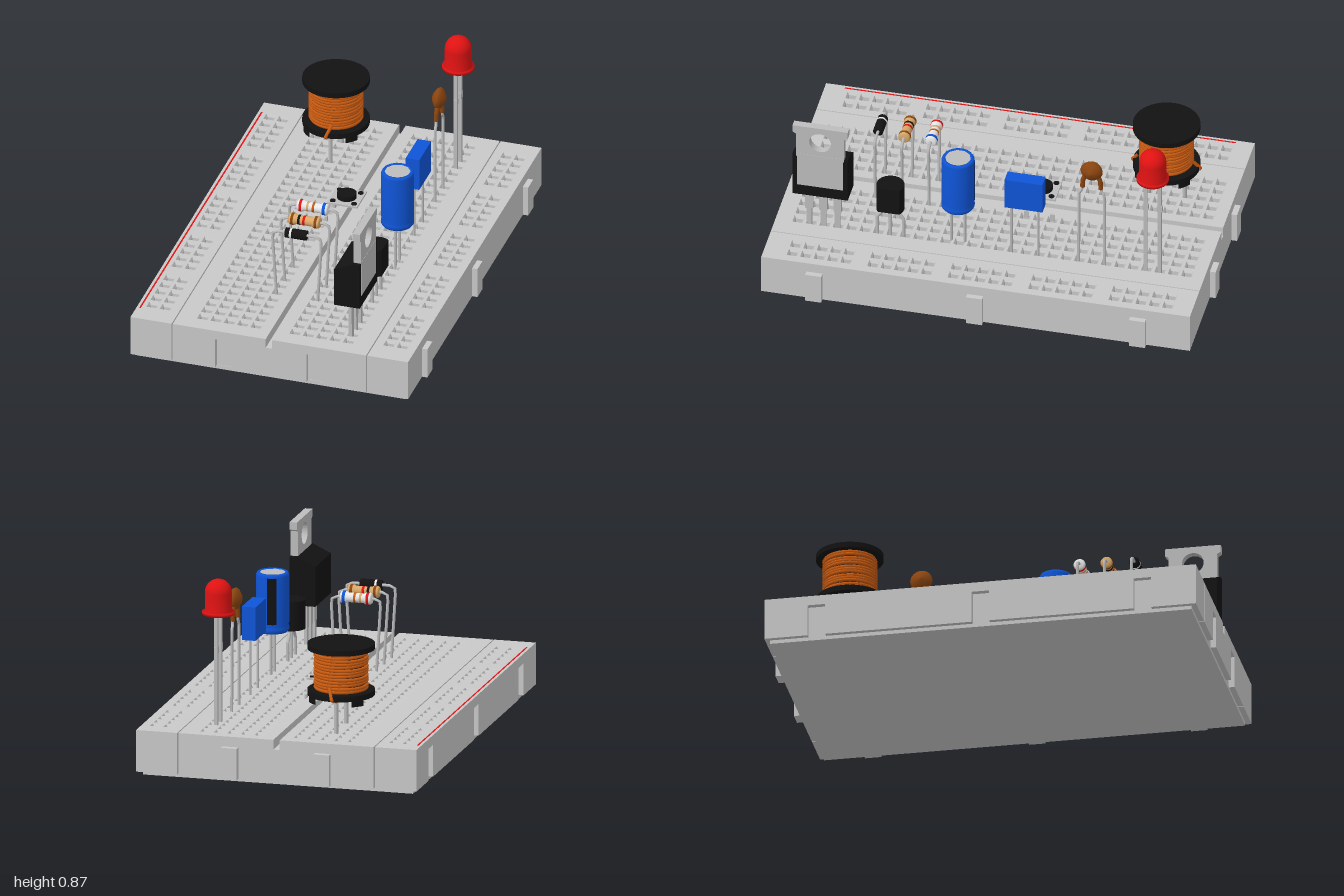
import * as THREE from 'three';
import { mergeGeometries } from 'three/addons/utils/BufferGeometryUtils.js';

const mat = (name, color, side = THREE.FrontSide) => {
  const m = new THREE.MeshStandardMaterial({ color, side });
  m.name = name;
  return m;
};

export function createModel() {
  const root = new THREE.Group();
  root.name = 'breadboardCircuit';
  const M = {
    board: mat('boardGrey', 0xc8c8c8), metal: mat('leadMetal', 0xbcbcbc),
    black: mat('black', 0x121212), red: mat('red', 0xe01212),
    blue: mat('blue', 0x0f55d8), copper: mat('copper', 0xc85a10),
    brown: mat('brown', 0x8b4510), tan: mat('tan', 0xd8a868), white: mat('white', 0xe8e8e8),
  };
  const group = (name) => {
    const g = new THREE.Group();
    g.name = name;
    root.add(g);
    return g;
  };
  const add = (parent, name, geo, material, x = 0, y = 0, z = 0) => {
    const m = new THREE.Mesh(geo, material);
    m.name = name;
    m.position.set(x, y, z);
    parent.add(m);
    return m;
  };
  // box from min/max corners
  const box = (p, name, m, x0, x1, y0, y1, z0, z1) =>
    add(p, name, new THREE.BoxGeometry(x1 - x0, y1 - y0, z1 - z0), m, (x0 + x1) / 2, (y0 + y1) / 2, (z0 + z1) / 2);
  const cyl = (p, name, m, r, h, x, y, z, seg = 32) =>
    add(p, name, new THREE.CylinderGeometry(r, r, h, seg), m, x, y, z);
  const wire = (p, name, m, pts, r = 0.007) => {
    const path = new THREE.CatmullRomCurve3(pts.map((q) => new THREE.Vector3(...q)), false, 'catmullrom', 0.15);
    return add(p, name, new THREE.TubeGeometry(path, 32, r, 8), m);
  };
  const poly = (pts) => new THREE.Shape(pts.map(([a, b]) => new THREE.Vector2(a, b)));
  const lathe = (pts, seg = 32) => new THREE.LatheGeometry(pts.map(([r, y]) => new THREE.Vector2(r, y)), seg);
  // footprint given as x,z and extruded upward
  const slab = (pts, holes, h) => {
    const s = poly(pts.map(([x, z]) => [x, -z]));
    const k = 0.024;
    for (const [x, z] of holes) {
      s.holes.push(new THREE.Path([[-k, -k], [-k, k], [k, k], [k, -k]].map(([a, b]) => new THREE.Vector2(x + a, b - z))));
    }
    return new THREE.ExtrudeGeometry(s, { depth: h, bevelEnabled: false }).rotateX(-Math.PI / 2);
  };

  // ---- Board ----
  const board = group('board');
  const P = 0.0617, Z0 = -0.973, Z1 = 1.0, TOP = 0.21, MID = 0.165;
  const sideZ = [-0.735, 0.015, 0.755], endX = [-0.23, 0.2];
  box(board, 'basePlate', M.board, -0.645, 0.615, 0, 0.02, -0.95, 0.975);
  const leftBody = [[-0.667, Z0]];
  for (const z of sideZ) leftBody.push([-0.667, z - 0.04], [-0.64, z - 0.04], [-0.64, z + 0.04], [-0.667, z + 0.04]);
  leftBody.push([-0.667, Z1], [-0.473, Z1], [-0.473, Z0]);
  const midBody = [[-0.468, Z0], [-0.468, Z1]];
  for (const x of endX) midBody.push([x - 0.039, Z1], [x - 0.039, Z1 - 0.027], [x + 0.039, Z1 - 0.027], [x + 0.039, Z1]);
  midBody.push([0.443, Z1], [0.443, Z0]);
  const rect = (x0, x1) => [[x0, Z0], [x0, Z1], [x1, Z1], [x1, Z0]];
  [leftBody, midBody, rect(0.448, 0.64)].forEach((f) => add(board, 'bodyStrip', slab(f, [], MID - 0.017), M.board, 0, 0.017, 0));
  for (const z of sideZ) box(board, 'sideTab', M.board, 0.635, 0.665, 0.017, 0.163, z - 0.037, z + 0.037);
  for (const x of endX) box(board, 'endTab', M.board, x - 0.037, x + 0.037, 0.017, 0.163, -1.0, Z0 + 0.005);

  // contact holes: 30 rows of 5, and rails of 5 blocks of 5 pairs
  const terminal = (x0) => {
    const out = [];
    for (let i = 0; i < 5; i++) for (let j = 0; j < 30; j++) out.push([x0 + i * 0.063, -0.892 + j * P]);
    return out;
  };
  const rail = (x0) => {
    const out = [];
    for (let i = 0; i < 2; i++) for (let b = 0; b < 5; b++) for (let j = 0; j < 5; j++) {
      out.push([x0 + i * 0.063, -0.86 + (b * 6 + j) * P]);
    }
    return out;
  };
  const q = Math.SQRT2;
  const pocket = new THREE.LatheGeometry(
    [[0.024, 0], [0.0165, -0.012], [0.0165, -0.04], [0, -0.04]].map(([r, y]) => new THREE.Vector2(r * q, y)),
    4, Math.PI / 4).toNonIndexed();
  pocket.computeVertexNormals();
  const strips = [
    [-0.667, -0.473, rail(-0.603)], [-0.468, -0.03, terminal(-0.355)],
    [0, 0.443, terminal(0.08)], [0.448, 0.64, rail(0.513)],
  ];
  for (const [x0, x1, holes] of strips) {
    add(board, 'topPlate', slab(rect(x0, x1), holes, TOP - MID), M.board, 0, MID, 0);
    add(board, 'contactHoles', mergeGeometries(holes.map(([x, z]) => pocket.clone().translate(x, TOP, z))), M.board);
  }
  box(board, 'railStripe', M.red, -0.654, -0.647, TOP, TOP + 0.001, -0.89, 0.91);

  const X = 0.325; // column holding most of the parts

  // ---- Red lamp ----
  const lamp = group('redLamp');
  const dome = [[0, 0.71], [0.073, 0.71], [0.073, 0.724], [0.061, 0.724], [0.061, 0.81]];
  for (let i = 1; i <= 8; i++) {
    const a = (i / 8) * Math.PI / 2;
    dome.push([0.061 * Math.cos(a), 0.81 + 0.062 * Math.sin(a)]);
  }
  add(lamp, 'lens', lathe(dome), M.red, X, 0, -0.73);
  for (const z of [-0.697, -0.762]) {
    box(lamp, 'lead', M.metal, X - 0.008, X + 0.008, 0.18, 0.715, z - 0.008, z + 0.008);
    box(lamp, 'leadStop', M.metal, X - 0.008, X + 0.008, 0.535, 0.565, z - 0.013, z + 0.013);
  }

  // ---- Disc capacitor ----
  const disc = group('discCapacitor');
  add(disc, 'disc', lathe([[0, -0.033], [0.02, -0.028], [0.044, -0.013], [0.051, 0], [0.044, 0.013], [0.02, 0.028], [0, 0.033]])
    .rotateZ(Math.PI / 2), M.brown, X, 0.71, -0.449);
  for (const s of [-1, 1]) {
    const z = (d) => -0.449 + s * d;
    wire(disc, 'coatedLead', M.brown, [[X, 0.69, z(0.025)], [X, 0.655, z(0.04)], [X, 0.615, z(0.042)]], 0.011);
    wire(disc, 'lead', M.metal, [[X, 0.62, z(0.042)], [X, 0.595, z(0.047)], [X, 0.57, z(0.058)], [X, 0.18, z(0.06)]]);
  }

  // ---- Box capacitor ----
  const film = group('boxCapacitor');
  box(film, 'case', M.blue, 0.293, 0.357, 0.46, 0.615, -0.23, -0.055);
  for (const z of [-0.08, -0.203]) cyl(film, 'lead', M.metal, 0.006, 0.29, X, 0.325, z, 8);

  // ---- Push button ----
  const button = group('pushButton');
  box(button, 'plate', M.metal, -0.085, 0.057, 0.295, 0.303, -0.22, -0.077);
  cyl(button, 'plunger', M.black, 0.044, 0.024, -0.014, 0.314, -0.148);
  for (const dx of [-1, 1]) for (const dz of [-1, 1]) {
    cyl(button, 'rivet', M.black, 0.013, 0.007, -0.014 + dx * 0.05, 0.304, -0.148 + dz * 0.05, 12);
    box(button, 'legTip', M.metal, -0.014 + dx * 0.077 - 0.005, -0.014 + dx * 0.077 + 0.005, 0.19, 0.225, -0.148 + dz * 0.06 - 0.01, -0.148 + dz * 0.06 + 0.01);
  }

  // ---- Can capacitor ----
  const can = group('canCapacitor');
  const cz = 0.166;
  add(can, 'sleeve', lathe([[0, 0.405], [0.068, 0.405], [0.075, 0.415], [0.075, 0.428], [0.071, 0.438], [0.075, 0.45],
    [0.075, 0.668], [0.069, 0.68], [0.058, 0.68], [0.058, 0.674], [0, 0.674]]), M.blue, X, 0, cz);
  cyl(can, 'topCap', M.metal, 0.058, 0.004, X, 0.676, cz, 10);
  add(can, 'polarityStripe', new THREE.CylinderGeometry(0.0765, 0.0765, 0.215, 6, 1, true, Math.PI - 0.05, 0.55), M.black, X, 0.558, cz);
  for (const z of [0.135, 0.197]) cyl(can, 'lead', M.metal, 0.007, 0.23, X, 0.295, z, 8);

  // ---- Small transistor, flat face toward +x ----
  const small = group('smallTransistor');
  const half = new THREE.Shape();
  const a0 = Math.acos(0.04 / 0.063);
  half.absarc(0, 0, 0.063, a0, Math.PI * 2 - a0, false);
  half.closePath();
  add(small, 'case', new THREE.ExtrudeGeometry(half, { depth: 0.135, bevelEnabled: false, curveSegments: 24 })
    .rotateX(-Math.PI / 2), M.black, X, 0.34, 0.477);
  for (const s of [-1, 0, 1]) {
    const z = (d) => 0.477 + s * d;
    wire(small, 'lead', M.metal, [[X, 0.35, z(0.033)], [X, 0.325, z(0.034)], [X, 0.285, z(0.06)], [X, 0.18, z(0.06)]], 0.008);
  }

  // ---- Power transistor ----
  const power = group('powerTransistor');
  const bodyShape = poly([[0.265, 0.395], [0.385, 0.395], [0.385, 0.62], [0.35, 0.62], [0.265, 0.58]]);
  add(power, 'case', new THREE.ExtrudeGeometry(bodyShape, { depth: 0.255, bevelEnabled: false }), M.black, 0, 0, 0.66);
  const tab = poly([[-0.11, 0.61], [0.11, 0.61], [0.11, 0.735], [0.127, 0.745], [0.127, 0.78],
    [-0.127, 0.78], [-0.127, 0.745], [-0.11, 0.735]]);
  const hole = new THREE.Path();
  hole.absarc(0, 0.7, 0.05, 0, Math.PI * 2, true);
  tab.holes.push(hole);
  add(power, 'heatTab', new THREE.ExtrudeGeometry(tab, { depth: 0.035, bevelEnabled: false, curveSegments: 16 })
    .rotateY(Math.PI / 2), M.metal, 0.351, 0, 0.787);
  box(power, 'exposedTab', M.metal, 0.38, 0.387, 0.45, 0.625, 0.682, 0.892);
  for (const z of [0.72, 0.785, 0.85]) {
    box(power, 'leadShoulder', M.metal, X - 0.008, X + 0.008, 0.28, 0.4, z - 0.018, z + 0.018);
    box(power, 'lead', M.metal, X - 0.008, X + 0.008, 0.18, 0.29, z - 0.012, z + 0.012);
  }

  // ---- Coil on a bobbin ----
  const coil = group('coil');
  const kx = -0.23, kz = -0.667;
  cyl(coil, 'topFlange', M.black, 0.152, 0.025, kx, 0.5875, kz, 40);
  cyl(coil, 'bottomFlange', M.black, 0.152, 0.025, kx, 0.375, kz, 40);
  cyl(coil, 'core', M.black, 0.112, 0.2, kx, 0.48, kz);
  for (let i = 0; i < 13; i++) {
    const ring = add(coil, 'winding', new THREE.TorusGeometry(0.116, 0.0082, 6, 32).rotateX(Math.PI / 2), M.copper, kx, 0.398 + i * 0.0142, kz);
    ring.rotation.z = 0.03 * Math.sin(i * 2.1);
  }
  for (let i = 0; i < 4; i++) {
    const foot = new THREE.CylinderGeometry(0.152, 0.152, 0.03, 6, 1, false, i * Math.PI / 2 + Math.PI / 4 - 0.2, 0.4);
    foot.scale(1, 1, 1);
    add(coil, 'foot', foot, M.black, kx, 0.352, kz);
  }
  for (const s of [-1, 1]) {
    cyl(coil, 'lead', M.metal, 0.01, 0.19, kx, 0.275, kz + s * 0.083, 8);
    wire(coil, 'wireEnd', M.copper, [[kx + 0.02, 0.42, kz + s * 0.124], [kx, 0.37, kz + s * 0.157], [kx, 0.355, kz + s * 0.1], [kx, 0.345, kz + s * 0.083]], 0.008);
  }

  // ---- Axial parts bridging the centre channel ----
  const AY = 0.535, AX = -0.013;
  const axial = (name, z, bodyMat, profile, bands) => {
    const g = group(name);
    add(g, 'body', lathe(profile, 20).rotateZ(-Math.PI / 2), bodyMat, AX, AY, z);
    for (const [x, w, r, m] of bands) {
      add(g, 'band', new THREE.CylinderGeometry(r, r, w, 20).rotateZ(Math.PI / 2), m, AX + x, AY, z);
    }
    wire(g, 'leads', M.metal, [[-0.105, 0.18, z], [-0.125, 0.5, z], [-0.122, 0.525, z], [-0.105, AY, z],
      [0.085, AY, z], [0.1, 0.525, z], [0.104, 0.5, z], [0.086, 0.18, z]]);
  };
  const bone = [[0, -0.074], [0.02, -0.074], [0.027, -0.067], [0.027, -0.045], [0.022, -0.036],
    [0.022, 0.036], [0.027, 0.045], [0.027, 0.067], [0.02, 0.074], [0, 0.074]];
  axial('paleResistor', 0.353, M.white, bone, [[-0.055, 0.012, 0.028, M.red], [-0.022, 0.01, 0.023, M.tan],
    [0.005, 0.01, 0.023, M.copper], [0.055, 0.014, 0.028, M.blue]]);
  axial('tanResistor', 0.476, M.tan, bone, [[-0.055, 0.012, 0.028, M.brown], [-0.024, 0.011, 0.023, M.black],
    [0, 0.011, 0.023, M.red], [0.055, 0.012, 0.028, M.brown]]);
  axial('diode', 0.6, M.black, [[0, -0.05], [0.023, -0.05], [0.023, 0.05], [0, 0.05]], [[-0.024, 0.01, 0.0238, M.white]]);

  return root;
}
